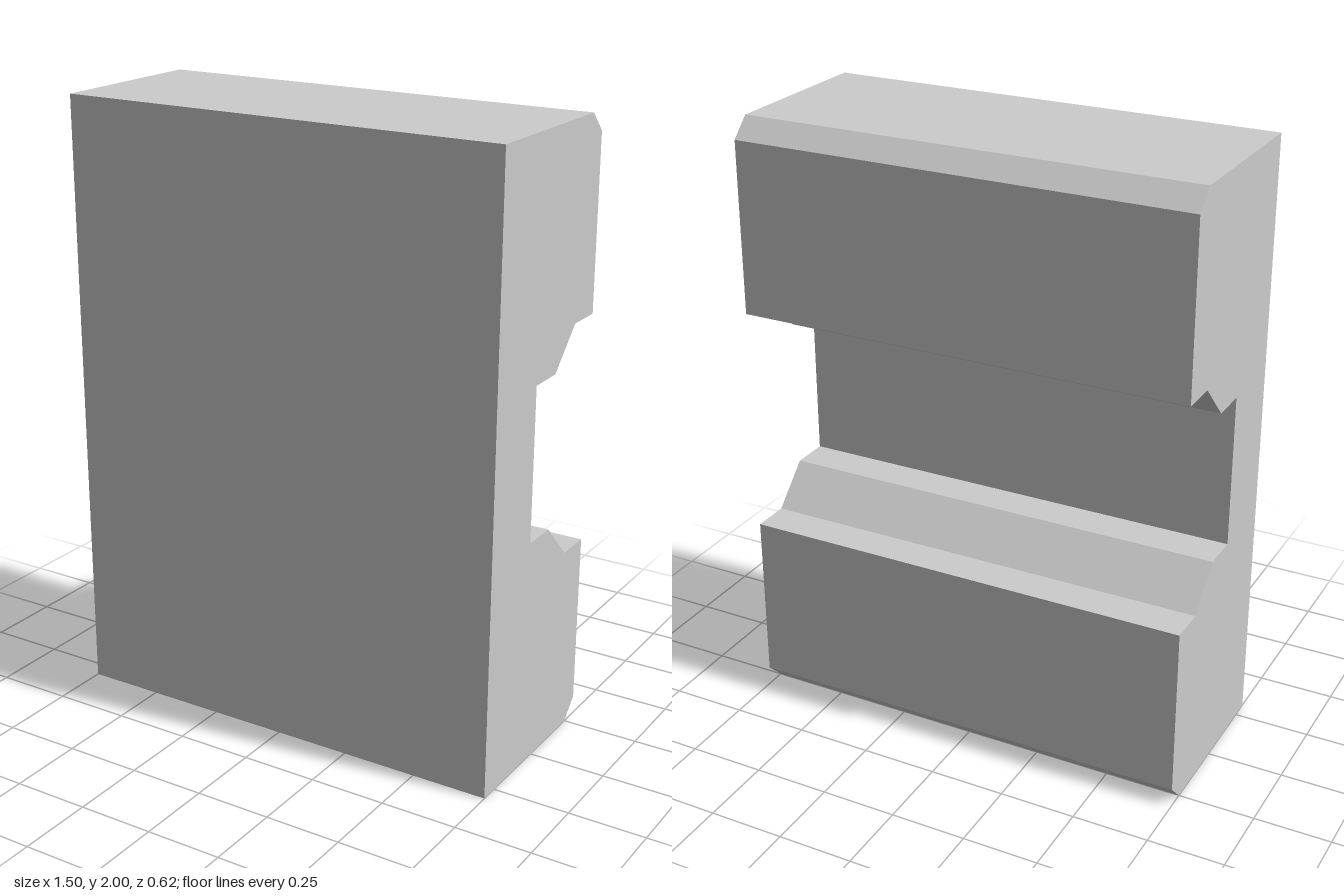
import * as THREE from 'three';

const WIDTH = 1.5;

export function createModel() {
  const group = new THREE.Group();
  group.name = 'groovedBlock';

  // Upper half of the side profile: [distance towards the back, height above the middle]
  const half = [
    [-0.0625, 0.25], [0.0625, 0.25],   // groove floor and inner step
    [0.1875, 0.375], [0.3125, 0.375],  // sloped flank and outer step
    [0.3125, 0.9375], [0.25, 1],       // chamfered back edge
    [-0.3125, 1],                      // front top corner
  ];
  const upper = half.map(([b, h]) => new THREE.Vector2(b, 1 + h));
  const lower = half.map(([b, h]) => new THREE.Vector2(b, 1 - h)).reverse();

  // Extrude the mirrored profile across the width
  const geometry = new THREE.ExtrudeGeometry(new THREE.Shape([...lower, ...upper]), {
    depth: WIDTH,
    bevelEnabled: false,
  });
  geometry.translate(0, 0, -WIDTH / 2);
  geometry.rotateY(Math.PI / 2);

  const block = new THREE.Mesh(
    geometry,
    new THREE.MeshStandardMaterial({ color: 0xcccccc, flatShading: true })
  );
  block.name = 'block';
  group.add(block);
  return group;
}
